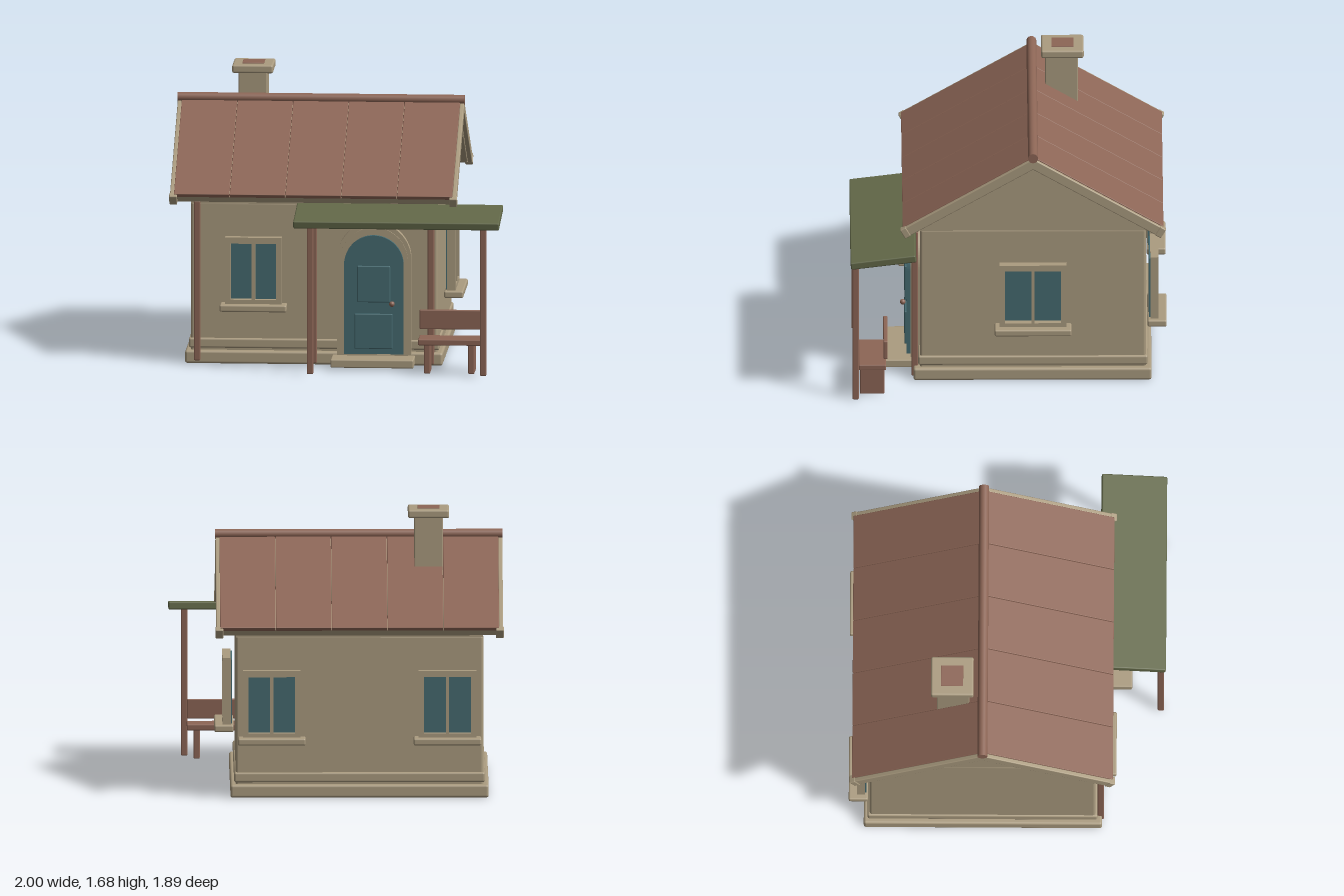
import * as THREE from 'three';
import { RoundedBoxGeometry } from 'three/addons/geometries/RoundedBoxGeometry.js';

const flat = (name, color) => {
  const m = new THREE.MeshStandardMaterial({ color });
  m.name = name;
  return m;
};

export function createModel() {
  const model = new THREE.Group();
  model.name = 'cottage';
  const stone = flat('sandstone', 0xab9c80);
  const wood = flat('redBrown', 0x8d6656);
  const teal = flat('teal', 0x466b71);
  const moss = flat('mossGreen', 0x636949);

  const add = (name, geo, mat, parent = model) => {
    const m = new THREE.Mesh(geo, mat);
    m.name = name;
    parent.add(m);
    return m;
  };
  // Softly bevelled box given by its bounds
  const box = (name, mat, [x0, x1], [y0, y1], [z0, z1], parent = model, r = 0.006) => {
    const m = add(name, new RoundedBoxGeometry(x1 - x0, y1 - y0, z1 - z0, 2, r), mat, parent);
    m.position.set((x0 + x1) / 2, (y0 + y1) / 2, (z0 + z1) / 2);
    return m;
  };
  const rect = (Type, x0, x1, y0, y1) => {
    const s = new Type();
    s.moveTo(x0, y0);
    s.lineTo(x1, y0);
    s.lineTo(x1, y1);
    s.lineTo(x0, y1);
    s.closePath();
    return s;
  };
  const extrude = (shape, depth) =>
    new THREE.ExtrudeGeometry(shape, { depth, bevelEnabled: false, curveSegments: 24 });

  const CX = -0.14, CZ = -0.145; // centre of the house

  // Walls, plinth and base band
  box('plinth', stone, [-0.912, 0.632], [0.0, 0.078], [-0.855, 0.57], model, 0.015);
  box('baseBand', stone, [-0.89, 0.61], [0.09, 0.15], [-0.832, 0.542], model, 0.012);
  box('walls', stone, [-0.88, 0.6], [0.03, 0.975], [-0.82, 0.53], model, 0.015);

  // Gable prism under the roof, running along x
  const gableShape = new THREE.Shape();
  gableShape.moveTo(-0.675, 0.965);
  gableShape.lineTo(0.675, 0.965);
  gableShape.lineTo(0.675, 1.03);
  gableShape.lineTo(0, 1.425);
  gableShape.lineTo(-0.675, 1.03);
  const gable = add('gable', extrude(gableShape, 1.476), stone);
  gable.rotation.y = Math.PI / 2;
  gable.position.set(-0.878, 0, CZ);

  // Two roof slopes: five panels over a deck, with barge boards at the ends
  for (const turn of [0, Math.PI]) {
    const side = new THREE.Group();
    side.name = turn ? 'backRoof' : 'frontRoof';
    side.position.set(CX, 1.495, CZ);
    side.rotation.y = turn;
    const slope = new THREE.Group();
    slope.name = 'roofSlope';
    slope.rotation.x = 0.53;
    side.add(slope);
    model.add(side);
    box('roofDeck', stone, [-0.83, 0.83], [-0.065, -0.02], [0, 0.9], slope);
    for (let i = 0; i < 5; i++) {
      const x = -0.835 + i * 0.334;
      box('roofPanel', wood, [x + 0.0015, x + 0.3325], [-0.024, 0], [0, 0.905], slope, 0.003);
    }
    for (const s of [-1, 1]) {
      const span = (a, b) => (s > 0 ? [a, b] : [-b, -a]);
      box('bargeBoard', stone, span(0.832, 0.858), [-0.066, -0.006], [0, 0.915], slope);
      box('bargeEnd', stone, span(0.815, 0.862), [-0.068, -0.004], [0.885, 0.925], slope);
    }
  }
  const ridge = add('ridgeCap', new THREE.CylinderGeometry(0.03, 0.03, 1.72, 20), wood);
  ridge.rotation.z = Math.PI / 2;
  ridge.position.set(CX, 1.493, CZ);

  // Chimney
  box('chimneyStack', stone, [-0.64, -0.47], [1.2, 1.64], [-0.42, -0.225]);
  box('chimneyCap', stone, [-0.678, -0.432], [1.63, 1.68], [-0.455, -0.2], model, 0.012);
  box('chimneyFlue', wood, [-0.62, -0.49], [1.66, 1.685], [-0.395, -0.262], model, 0.002);

  // Windows, built facing +z with the wall at local z = 0
  const addWindow = (name, x, z, turn, w) => {
    const g = new THREE.Group();
    g.name = name;
    g.position.set(x, 0, z);
    g.rotation.y = turn;
    const h = w / 2, pane = h - 0.033;
    const shape = rect(THREE.Shape, -h, h, 0.365, 0.772);
    shape.holes.push(rect(THREE.Path, -pane, -0.01, 0.395, 0.735));
    shape.holes.push(rect(THREE.Path, 0.01, pane, 0.395, 0.735));
    add('windowFrame', extrude(shape, 0.05), stone, g).position.z = 0.027;
    box('windowGlass', teal, [-h + 0.01, h - 0.01], [0.375, 0.762], [0.018, 0.035], g, 0.002);
    box('windowSill', stone, [-h - 0.03, h + 0.03], [0.328, 0.37], [0.01, 0.125], g, 0.01);
    model.add(g);
  };
  addWindow('frontWindow', -0.5, 0.53, 0, 0.34);
  addWindow('rightSideWindow', 0.6, -0.145, Math.PI / 2, 0.4);
  addWindow('backWindowA', -0.665, -0.82, Math.PI, 0.345);
  addWindow('backWindowB', 0.385, -0.82, Math.PI, 0.345);

  // Arched doorway: surround in two steps, door leaf, raised panels, knob and step
  const arch = (Type, r, spring, base) => {
    const s = new Type();
    s.moveTo(-r, base);
    s.lineTo(r, base);
    s.lineTo(r, spring);
    s.absarc(0, spring, r, 0, Math.PI, false);
    s.closePath();
    return s;
  };
  const DX = 0.222;
  const ring = (name, r, spring, front) => {
    const shape = arch(THREE.Shape, r, spring, 0.05);
    shape.holes.push(arch(THREE.Path, 0.178, 0.615, 0.07));
    add(name, extrude(shape, front - 0.5), stone).position.set(DX, 0, 0.5);
  };
  ring('doorSurround', 0.222, 0.646, 0.578);
  ring('doorTrim', 0.203, 0.635, 0.586);
  add('door', extrude(arch(THREE.Shape, 0.178, 0.615, 0.075), 0.08), teal).position.set(DX, 0, 0.53);
  box('upperDoorPanel', teal, [0.123, 0.321], [0.39, 0.61], [0.6, 0.622]);
  box('lowerDoorPanel', teal, [0.107, 0.335], [0.108, 0.32], [0.6, 0.622]);
  add('doorKnob', new THREE.SphereGeometry(0.017, 16, 12), wood).position.set(0.332, 0.383, 0.632);
  box('doorStep', stone, [-0.03, 0.468], [0.012, 0.062], [0.5, 0.745], model, 0.008);

  // Posts along the wall and at the front of the porch
  const post = (name, x, z, y0, y1) =>
    box(name, wood, [x - 0.019, x + 0.019], [y0, y1], [z - 0.019, z + 0.019]);
  post('wallPost', -0.838, 0.562, 0.02, 0.985);
  for (const x of [-0.14, 0.562]) post('wallPost', x, 0.562, 0.01, 0.95);
  for (const x of [-0.14, 0.897]) post('porchPost', x, 0.917, 0.005, 0.91);

  // Sloping porch roof
  const porch = box('porchRoof', moss, [-0.24, 0.993], [0.912, 0.957], [0.555, 0.948], model, 0.008);
  porch.rotation.x = 0.125;

  // Bench
  box('benchSeat', wood, [0.505, 0.882], [0.18, 0.216], [0.735, 0.898]);
  box('benchBack', wood, [0.505, 0.882], [0.253, 0.37], [0.725, 0.75]);
  for (const x of [0.54, 0.805]) box('benchLeg', wood, [x, x + 0.037], [0.008, 0.19], [0.745, 0.89]);

  return model;
}
